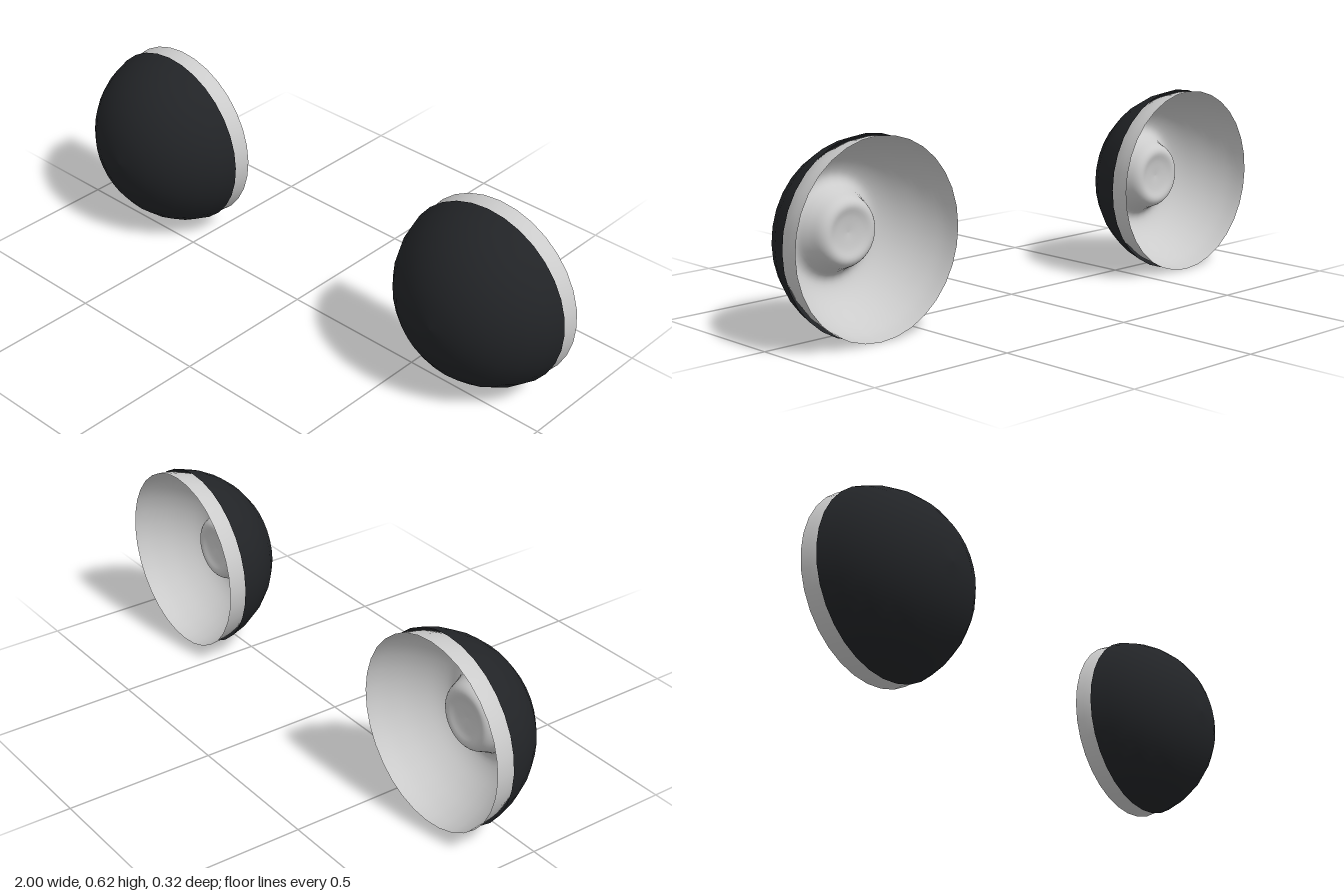
import * as THREE from 'three';

const SIDES = 32;
const RIM = 0.311;

// Revolve [radius, z] points around the z axis
function revolve(points, material, name) {
  const geometry = new THREE.LatheGeometry(points, SIDES);
  geometry.rotateX(Math.PI / 2);
  const mesh = new THREE.Mesh(geometry, material);
  mesh.name = name;
  return mesh;
}

export function createModel() {
  const dark = new THREE.MeshStandardMaterial({ color: 0x222427, side: THREE.DoubleSide });
  const grey = new THREE.MeshStandardMaterial({ color: 0xcccccc, side: THREE.DoubleSide });

  // Domed lens: a spherical cap, from rim to pole
  const R = 0.317, steps = 7, lensPoints = [];
  for (let i = steps; i >= 0; i--) {
    const a = (i / 16) * Math.PI;
    lensPoints.push(new THREE.Vector2(R * Math.sin(a), R * Math.cos(a) - 0.159));
  }

  // Open bowl with a round trough and a dimpled boss in its middle
  const bowl = new THREE.SplineCurve([
    [RIM, -0.158], [0.3, -0.096], [0.269, -0.025], [0.222, 0.036],
    [0.175, 0.068], [0.143, 0.062], [0.122, 0.028], [0.105, -0.01],
    [0.083, -0.024], [0.05, -0.016], [0, -0.01],
  ].map(([r, z]) => new THREE.Vector2(r, z)));
  const bowlPoints = bowl.getPoints(40);
  bowlPoints[bowlPoints.length - 1].x = 0;

  // A matching lamp on each side
  const model = new THREE.Group();
  model.name = 'lampPair';
  for (const side of [1, -1]) {
    const lamp = new THREE.Group();
    lamp.name = side > 0 ? 'leftLamp' : 'rightLamp';
    lamp.add(revolve(lensPoints, dark, 'lens'), revolve(bowlPoints, grey, 'reflectorBowl'));
    lamp.position.set(side * (1 - RIM), RIM, 0);
    model.add(lamp);
  }
  return model;
}
